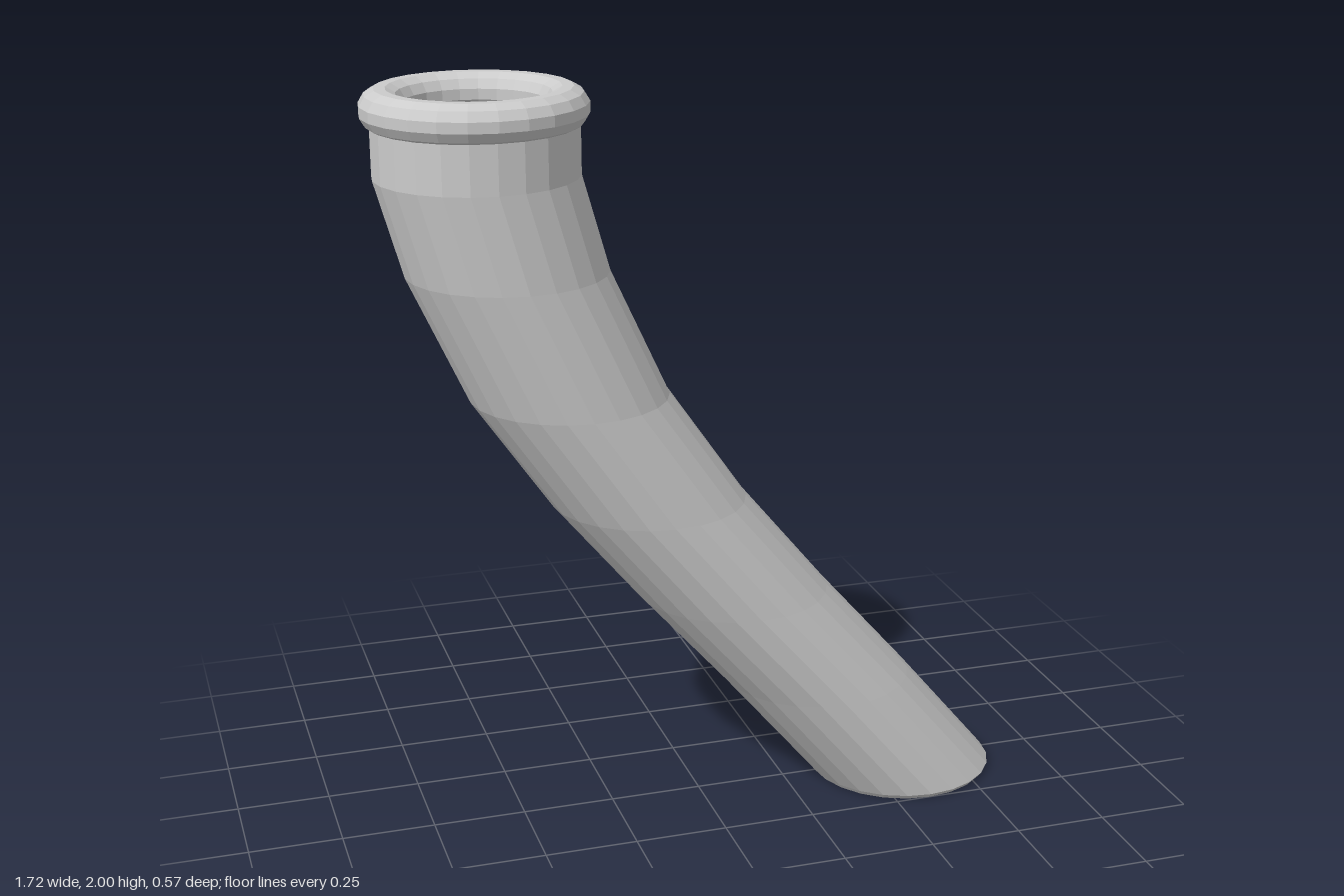
import * as THREE from 'three';

const SIDES = 24;

// Skins a closed loop of horizontal rings [centreX, y, radius]; outer rings run downward.
function ringLoft(rings) {
  const pos = [], index = [];
  for (const [cx, y, r] of rings) {
    for (let j = 0; j < SIDES; j++) {
      const a = (j / SIDES) * Math.PI * 2;
      pos.push(cx + r * Math.cos(a), y, r * Math.sin(a));
    }
  }
  for (let i = 0; i < rings.length; i++) {
    const k = (i + 1) % rings.length;
    for (let j = 0; j < SIDES; j++) {
      const n = (j + 1) % SIDES;
      const a = i * SIDES + j, b = i * SIDES + n;
      const c = k * SIDES + j, d = k * SIDES + n;
      index.push(a, b, c, b, d, c);
    }
  }
  const geo = new THREE.BufferGeometry();
  geo.setAttribute('position', new THREE.Float32BufferAttribute(pos, 3));
  geo.setIndex(index);
  geo.computeVertexNormals();
  return geo;
}

export function createModel() {
  const group = new THREE.Group();
  group.name = 'bentPipe';
  const material = new THREE.MeshStandardMaterial({ color: 0xcccccc, flatShading: true });
  const add = (name, rings) => {
    const mesh = new THREE.Mesh(ringLoft(rings), material);
    mesh.name = name;
    group.add(mesh);
  };

  // Centre line of the sheared pipe, top to bottom
  const path = [
    [-0.575, 1.93], [-0.575, 1.78], [-0.505, 1.53], [-0.35, 1.19],
    [-0.14, 0.885], [0.095, 0.6], [0.34, 0.32], [0.597, 0.013],
  ];

  // Hollow pipe: outer wall, chamfered foot, then the bore back up
  add('pipe', [
    ...path.map(([x, y]) => [x, y, 0.26]),
    [0.597, 0, 0.25],
    [0.597, 0, 0.205],
    ...path.slice().reverse().map(([x, y]) => [x, y, 0.205]),
  ]);

  // Rounded bead around the mouth
  const bead = [];
  const steps = 12;
  for (let i = 0; i < steps; i++) {
    const t = ((i + 0.5) / steps) * Math.PI * 2;
    bead.push([-0.575, 1.949 + 0.053 * Math.cos(t), 0.231 + 0.055 * Math.sin(t)]);
  }
  add('rimBead', bead);

  return group;
}
